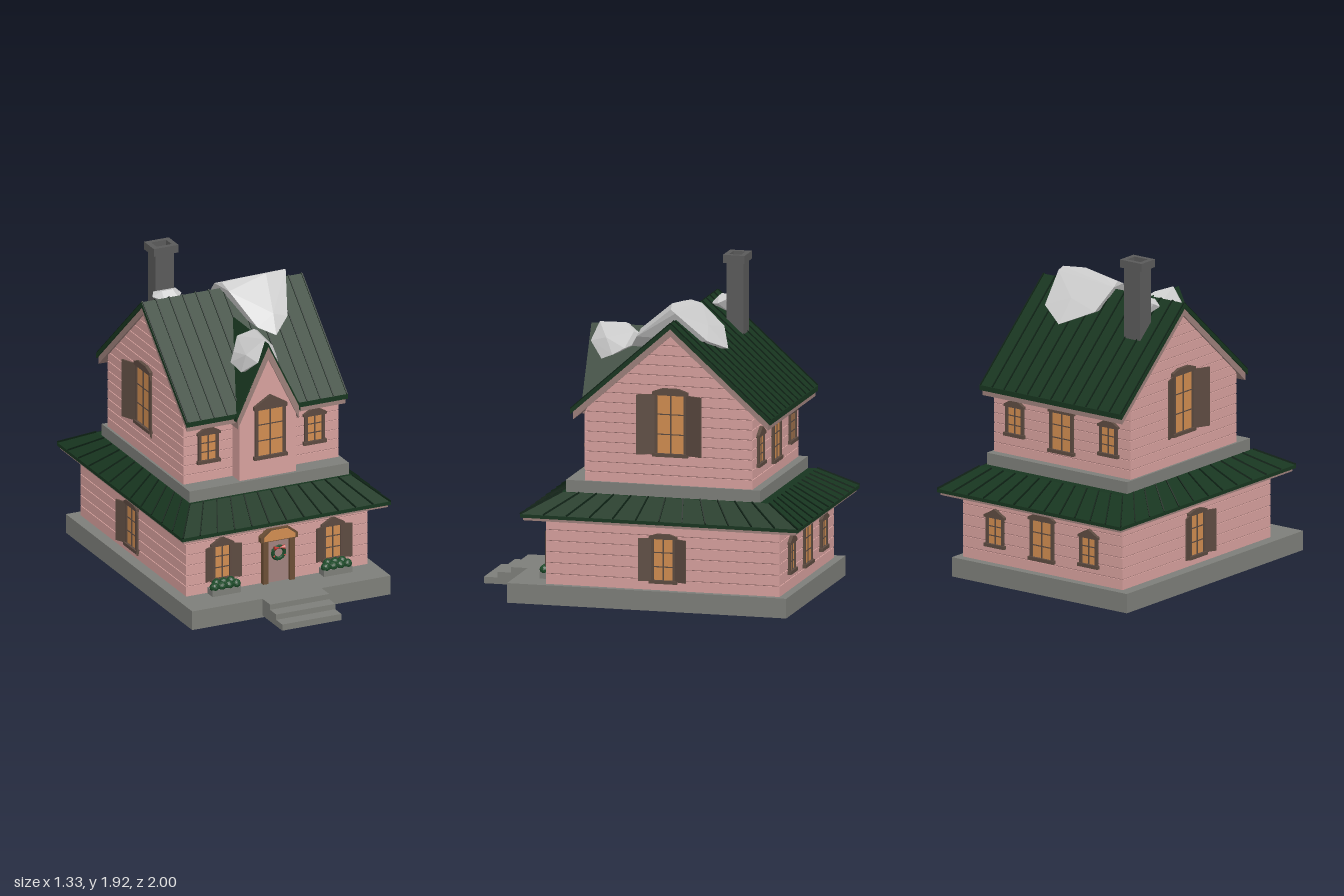
import * as THREE from 'three';
import { ConvexGeometry } from 'three/addons/geometries/ConvexGeometry.js';

const mat = (color) => new THREE.MeshStandardMaterial({ color, flatShading: true });
const PINK = mat(0xd6a09d), GROOVE = mat(0x8c6664), TRIM = mat(0x9c7f7a), GREEN = mat(0x17351f),
  SEAM = mat(0x0d2114), STONE = mat(0x7d7e79), BROWN = mat(0x5c4a40), GLASS = mat(0xd08c50),
  CHIMNEY = mat(0x5a5a5a), SOOT = mat(0x404040), SNOW = mat(0xcccccc), WOOD = mat(0x6b4e35),
  DOOR = mat(0xa0827e), LEAF = mat(0x1c4a29), RED = mat(0xc23a32);

function add(parent, name, geometry, material) {
  const mesh = new THREE.Mesh(geometry, material);
  mesh.name = name;
  parent.add(mesh);
  return mesh;
}

// Box given by its limits on each axis
function box(parent, name, material, [x0, x1], [y0, y1], [z0, z1]) {
  const g = new THREE.BoxGeometry(x1 - x0, y1 - y0, z1 - z0);
  g.translate((x0 + x1) / 2, (y0 + y1) / 2, (z0 + z1) / 2);
  return add(parent, name, g, material);
}

const outline = (pts) => new THREE.Shape(pts.map(([x, y]) => new THREE.Vector2(x, y)));
const extrude = (pts, depth) => new THREE.ExtrudeGeometry(outline(pts), { depth, bevelEnabled: false });

// Extrude a (z, y) outline from x0 to x1
const extrudeX = (pts, x0, x1) => extrude(pts, x1 - x0).rotateY(-Math.PI / 2).translate(x1, 0, 0);

// Chevron outline: a gable roof layer of vertical thickness t
const chevron = (c, half, apex, slope, t) => [
  [c - half, apex - slope * half], [c - half, apex - slope * half - t], [c, apex - t],
  [c + half, apex - slope * half - t], [c + half, apex - slope * half], [c, apex]];

// Standing seam between two points on a roof
function seam(parent, a, b) {
  const p = new THREE.Vector3(...a), q = new THREE.Vector3(...b);
  const m = add(parent, 'roofSeam', new THREE.BoxGeometry(0.007, 0.012, p.distanceTo(q)), SEAM);
  m.position.copy(p).lerp(q, 0.5);
  m.lookAt(q);
}

// Clapboard walls; limits(y) gives [z0, z1] at a height
function siding(parent, name, hx, y0, y1, limits, rows) {
  const g = new THREE.Group();
  g.name = name;
  parent.add(g);
  const h = (y1 - y0) / rows;
  for (let i = 0; i < rows; i++) {
    const a = y0 + i * h;
    const section = (lo, hi, d) => {
      const [p, q] = limits(lo), [r, s] = limits(hi);
      return [[p + d, lo], [q - d, lo], [s - d, hi], [r + d, hi]];
    };
    add(g, 'board', extrudeX(section(a, a + h - 0.005, 0), -hx, hx), PINK);
    add(g, 'groove', extrudeX(section(a + h - 0.005, a + h, 0.006), -hx + 0.006, hx - 0.006), GROOVE);
  }
}

// Window facing +z, origin at the bottom centre of the glass
function makeWindow(parent, [x, y, z], turn, w, h, { shutter = 0, flat = false, cap = 0.055 } = {}) {
  const g = new THREE.Group();
  g.name = 'window';
  g.position.set(x, y, z);
  g.rotation.y = turn;
  parent.add(g);
  const a = w / 2, f = 0.009;
  box(g, 'glass', GLASS, [-a, a], [0, h], [-0.01, 0.006]);
  for (const s of [-1, 0, 1]) {
    const t = s ? f : 0.004;
    box(g, 'frame', BROWN, [s * a - t, s * a + t], [0, h], [-0.01, s ? 0.014 : 0.01]);
  }
  for (const k of [1, 2]) box(g, 'glazingBar', BROWN, [-a, a], [h * k / 3 - 0.003, h * k / 3 + 0.003], [0, 0.009]);
  box(g, 'sill', BROWN, [-a - 0.018, a + 0.018], [-0.014, 0.006], [-0.01, 0.022]);
  const b = a + 0.018;
  const head = flat
    ? [[-b, 0], [b, 0], [b, cap * 0.5], [b * 0.45, cap], [-b * 0.45, cap], [-b, cap * 0.5]]
    : [[-b, 0], [b, 0], [b, cap * 0.25], [0, cap], [-b, cap * 0.25]];
  add(g, 'pediment', extrude(head, 0.03), BROWN).position.set(0, h - 0.004, -0.01);
  // Shutters stand slightly open
  if (shutter) for (const s of [-1, 1]) {
    const m = add(g, 'shutter', new THREE.BoxGeometry(shutter, h, 0.01).translate(s * shutter / 2, h / 2, 0), BROWN);
    m.position.set(s * (a + 0.004), 0, 0.008);
    m.rotation.y = -s * 0.4;
  }
}

function makeLowerRoof(house) {
  const g = new THREE.Group();
  g.name = 'lowerRoof';
  house.add(g);
  box(g, 'soffit', TRIM, [-0.65, 0.65], [0.495, 0.512], [-0.985, 0.635]);
  box(g, 'eave', GREEN, [-0.663, 0.663], [0.512, 0.532], [-1, 0.65]);
  // Hipped skirt: a box with its top drawn in
  const geo = new THREE.BoxGeometry(1, 1, 1), p = geo.attributes.position;
  for (let i = 0; i < p.count; i++) {
    const top = p.getY(i) > 0, x = Math.sign(p.getX(i)), front = p.getZ(i) > 0;
    p.setXYZ(i, x * (top ? 0.515 : 0.663), top ? 0.645 : 0.53,
      front ? (top ? 0.44 : 0.65) : (top ? -0.79 : -1));
  }
  geo.computeVertexNormals();
  add(g, 'skirt', geo, GREEN);
  for (let i = 0; i <= 12; i++) {
    const t = i / 6 - 1, u = i / 12;
    seam(g, [t * 0.66, 0.533, 0.648], [t * 0.515, 0.646, 0.44]);
    seam(g, [t * 0.66, 0.533, -0.998], [t * 0.515, 0.646, -0.79]);
    for (const s of [-1, 1]) seam(g, [s * 0.66, 0.533, -1 + 1.65 * u], [s * 0.515, 0.646, -0.79 + 1.23 * u]);
  }
}

function makeUpperRoof(house) {
  const g = new THREE.Group();
  g.name = 'upperRoof';
  house.add(g);
  add(g, 'roof', extrudeX(chevron(-0.2, 0.595, 1.66, 0.89, 0.03), -0.513, 0.513), GREEN);
  add(g, 'roofTrim', extrudeX(chevron(-0.2, 0.58, 1.63, 0.89, 0.045), -0.505, 0.505), TRIM);
  for (let i = 0; i <= 12; i++) {
    const x = -0.506 + i * 1.012 / 12;
    for (const s of [-1, 1]) seam(g, [x, 1.66, -0.2], [x, 1.132, -0.2 + s * 0.593]);
  }
  // Steep front gable
  add(g, 'gableWall', extrude([[-0.18, 0.715], [0.18, 0.715], [0.18, 1.12], [0, 1.48], [-0.18, 1.12]], 0.4), PINK);
  add(g, 'gableTrim', extrude(chevron(0, 0.195, 1.515, 2.05, 0.075), 0.44), TRIM).position.z = -0.03;
  add(g, 'gableRoof', extrude(chevron(0, 0.205, 1.535, 2.05, 0.03), 0.5), GREEN).position.z = -0.09;
}

function makeDoor(house) {
  const g = new THREE.Group();
  g.name = 'frontDoor';
  g.position.set(0, 0.115, 0.52);
  house.add(g);
  box(g, 'doorPanel', DOOR, [-0.07, 0.07], [0, 0.26], [-0.01, 0.012]);
  for (const s of [-1, 1]) box(g, 'doorPost', WOOD, [s * 0.085 - 0.016, s * 0.085 + 0.016], [0, 0.27], [-0.01, 0.03]);
  const head = (k) => [[-0.118, 0], [0.118, 0], [0.118, 0.03], [0.06, 0.075], [-0.06, 0.075], [-0.118, 0.03]]
    .map(([x, y]) => [x * k, 0.035 + (y - 0.035) * k]);
  add(g, 'doorHeader', extrude(head(1), 0.045), WOOD).position.set(0, 0.26, -0.01);
  add(g, 'fanlight', extrude(head(0.83), 0.05), GLASS).position.set(0, 0.26, -0.01);
  const wreath = add(g, 'wreath', new THREE.TorusGeometry(0.037, 0.012, 6, 14), LEAF);
  wreath.position.set(0, 0.18, 0.022);
  for (const s of [-1, 1]) {
    const bow = add(g, 'bow', new THREE.ConeGeometry(0.014, 0.035, 5).rotateZ(s * Math.PI / 2), RED);
    bow.position.set(s * 0.015, 0.215, 0.035);
    add(g, 'berry', new THREE.IcosahedronGeometry(0.006), RED).position.set(s * 0.034, 0.165, 0.036);
  }
}

function makePlanter(house, x) {
  const g = new THREE.Group();
  g.name = 'planter';
  g.position.set(x, 0.115, 0.56);
  house.add(g);
  box(g, 'planterBox', STONE, [-0.09, 0.09], [0, 0.038], [-0.034, 0.034]);
  for (let i = 0; i < 7; i++) {
    const bush = add(g, 'bush', new THREE.IcosahedronGeometry(0.028, 1), LEAF);
    bush.position.set(-0.069 + i * 0.023, 0.05 + (i % 2) * 0.012, i % 2 ? -0.012 : 0.012);
    bush.rotation.set(i, i * 2, 0);
  }
}

function makeSnow(house) {
  const hull = (name, pts) => add(house, name, new ConvexGeometry(pts.map((p) => new THREE.Vector3(...p))), SNOW);
  hull('ridgeSnow', [[-0.03, 1.68, -0.24], [0, 1.56, -0.38], [0.2, 1.47, -0.46], [0.36, 1.54, -0.38],
    [0.4, 1.7, -0.2], [0.39, 1.72, -0.17], [0.34, 1.62, -0.07], [0.29, 1.53, 0.06], [0.19, 1.45, 0.12],
    [0.1, 1.49, 0.06], [0, 1.67, -0.11], [-0.01, 1.7, -0.18], [0.1, 1.715, -0.17], [0.25, 1.727, -0.14],
    [0.2, 1.6, -0.34], [0.2, 1.56, 0.06]]);
  hull('gableSnow', [[0, 1.545, 0.36], [0.01, 1.55, 0.2], [0, 1.46, 0.07], [-0.07, 1.5, 0.14], [0.06, 1.51, 0.14],
    [-0.14, 1.37, 0.2], [-0.12, 1.34, 0.3], [-0.1, 1.45, 0.32], [-0.06, 1.42, 0.39], [0.05, 1.44, 0.4],
    [0.13, 1.38, 0.25], [0.11, 1.35, 0.32], [0.08, 1.47, 0.3], [0.12, 1.42, 0.18], [-0.12, 1.43, 0.2]]);
  hull('chimneySnow', [[-0.4, 1.64, -0.29], [-0.38, 1.66, -0.32], [-0.24, 1.66, -0.32], [-0.22, 1.64, -0.28],
    [-0.26, 1.63, -0.23], [-0.35, 1.63, -0.23], [-0.35, 1.675, -0.27], [-0.28, 1.675, -0.27], [-0.31, 1.57, -0.33]]);
}

export function createModel() {
  const house = new THREE.Group();
  house.name = 'house';

  // Foundation, landing and steps
  box(house, 'foundation', STONE, [-0.645, 0.617], [0, 0.115], [-0.92, 0.74]);
  [[0.84, 0.115], [0.92, 0.083], [1, 0.05]].forEach(([z, y]) =>
    box(house, 'step', STONE, [-0.198, 0.178], [0.012, y], [0.7, z]));

  // Two storeys
  siding(house, 'lowerWalls', 0.577, 0.115, 0.5, () => [-0.87, 0.52], 6);
  makeLowerRoof(house);
  box(house, 'stoneBand', STONE, [-0.507, 0.507], [0.63, 0.715], [-0.735, 0.42]);
  const reach = (y) => Math.max(0.01, (1.6 - y) / 0.89);
  siding(house, 'upperWalls', 0.493, 0.715, 1.59,
    (y) => [Math.max(-0.685, -0.2 - reach(y)), Math.min(0.31, -0.2 + reach(y))], 15);
  makeUpperRoof(house);

  // Chimney with open cap
  box(house, 'chimney', CHIMNEY, [-0.362, -0.245], [1.3, 1.885], [-0.425, -0.325]);
  for (const s of [-1, 1]) {
    const x = -0.303 + s * 0.063, z = -0.373 + s * 0.05;
    box(house, 'chimneyCap', CHIMNEY, [x - 0.015, x + 0.015], [1.878, 1.925], [-0.437, -0.309]);
    box(house, 'chimneyCap', CHIMNEY, [-0.365, -0.24], [1.878, 1.925], [z - 0.014, z + 0.014]);
  }
  box(house, 'flue', SOOT, [-0.35, -0.256], [1.88, 1.89], [-0.42, -0.325]);

  // Windows on every side
  for (const s of [-1, 1]) {
    makeWindow(house, [s * 0.352, 0.195, 0.52], 0, 0.11, 0.205, { shutter: 0.06 });
    makeWindow(house, [s * 0.338, 0.842, 0.31], 0, 0.11, 0.165);
    makeWindow(house, [s * 0.577, 0.17, -0.18], s * Math.PI / 2, 0.13, 0.25, { shutter: 0.078, flat: true, cap: 0.03 });
    makeWindow(house, [s * 0.493, 0.895, -0.2], s * Math.PI / 2, 0.175, 0.35, { shutter: 0.11, flat: true, cap: 0.04 });
    makeWindow(house, [s * 0.338, 0.225, -0.87], Math.PI, 0.11, 0.165);
    makeWindow(house, [s * 0.338, 0.842, -0.685], Math.PI, 0.11, 0.165);
    makePlanter(house, s * 0.354);
  }
  makeWindow(house, [0.012, 0.845, 0.4], 0, 0.175, 0.295, { cap: 0.085 });
  makeWindow(house, [0, 0.2, -0.87], Math.PI, 0.15, 0.23, { cap: 0.065 });
  makeWindow(house, [0, 0.8, -0.685], Math.PI, 0.15, 0.23, { cap: 0.065 });

  makeDoor(house);
  makeSnow(house);
  return house;
}
